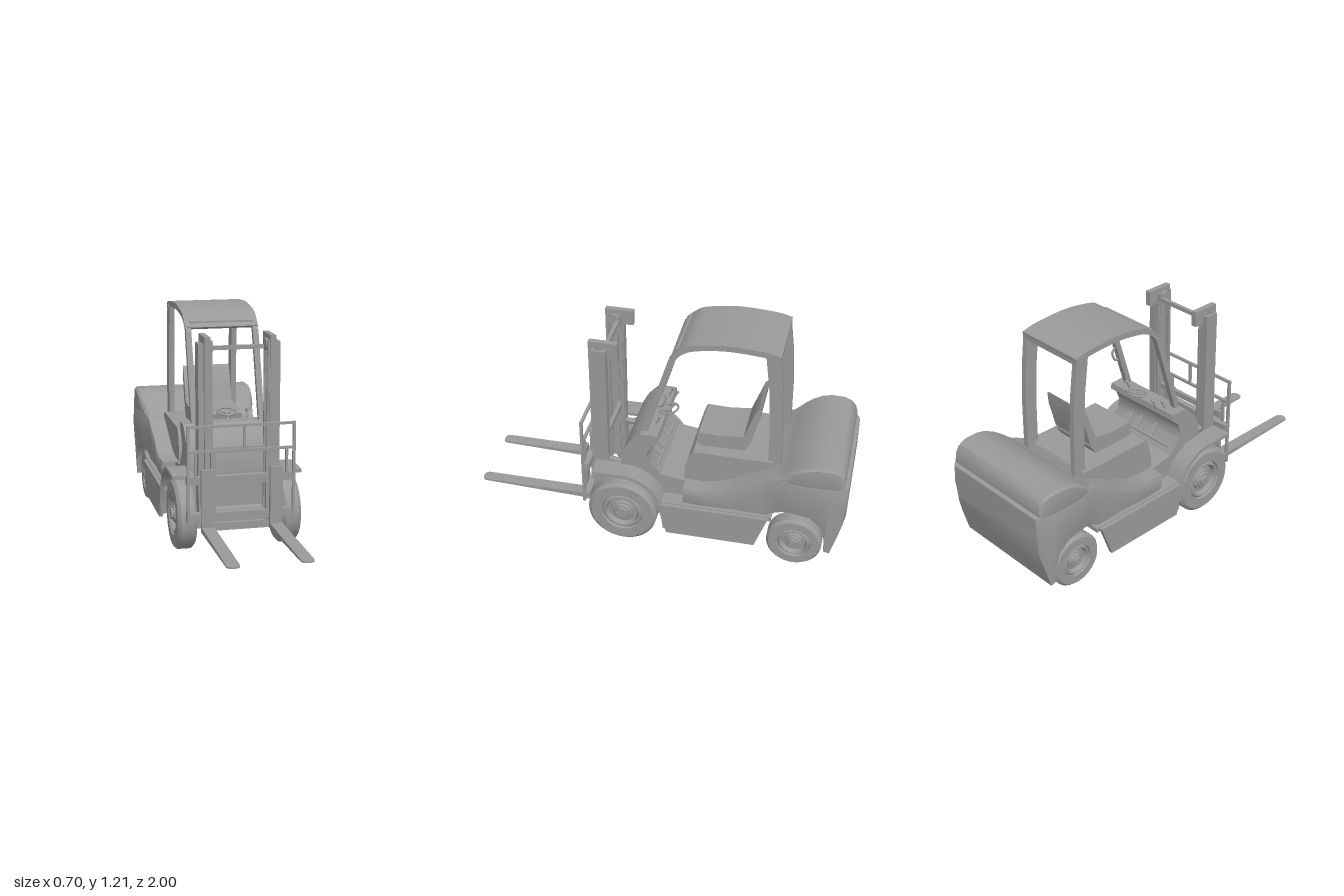
import * as THREE from 'three';
import { toCreasedNormals } from 'three/addons/utils/BufferGeometryUtils.js';

const MAT = new THREE.MeshStandardMaterial({ color: 0x999999, side: THREE.DoubleSide });

export function createModel() {
  const root = new THREE.Group();
  const add = (name, geo, parent = root) => {
    const m = new THREE.Mesh(geo, MAT);
    m.name = name;
    parent.add(m);
    return m;
  };
  const group = (name, x, y, z) => {
    const g = new THREE.Group();
    g.name = name;
    g.position.set(x, y, z);
    root.add(g);
    return g;
  };
  // Box given by its min and max along each axis
  const box = (name, x0, x1, y0, y1, z0, z1, parent) => add(name,
    new THREE.BoxGeometry(x1 - x0, y1 - y0, z1 - z0)
      .translate((x0 + x1) / 2, (y0 + y1) / 2, (z0 + z1) / 2), parent);
  // Side profile of [z, y] points, extruded across x
  const side = (name, pts, x0, x1, parent) => {
    const shape = new THREE.Shape(pts.map(p => new THREE.Vector2(...p)));
    const g = new THREE.ExtrudeGeometry(shape, { depth: x1 - x0, bevelEnabled: false });
    g.rotateY(-Math.PI / 2).translate(x1, 0, 0);
    return add(name, toCreasedNormals(g, 0.6), parent);
  };
  // Smooth curve through [z, y] points running front to back, thickened inward
  const strip = (pts, t, n = 16) => {
    const c = new THREE.SplineCurve(pts.map(p => new THREE.Vector2(...p)));
    const outer = [], inner = [];
    for (let i = 0; i <= n; i++) {
      const p = c.getPoint(i / n), d = c.getTangent(i / n);
      outer.push([p.x, p.y]);
      inner.unshift([p.x - d.y * t, p.y + d.x * t]);
    }
    return outer.concat(inner);
  };
  const rod = (name, a, b, r, parent) => {
    const A = new THREE.Vector3(...a), B = new THREE.Vector3(...b);
    return add(name, new THREE.TubeGeometry(new THREE.LineCurve3(A, B), 1, r, 8), parent);
  };
  // Shell through cross-sections: [z, bottom, top, half width], front to back
  const loft = (name, bottomTaper, topTaper, stations) => {
    const pos = [], idx = [];
    for (const [z, b, t, w] of stations) {
      const mid = Math.max(b + 0.01, Math.min(0.43, t - 0.03));
      const half = [[w * bottomTaper, b], [w, mid], [w * 0.98, t - 0.012], [w * topTaper, t]];
      const ring = half.concat(half.map(([x, y]) => [-x, y]).reverse());
      for (const [x, y] of ring) pos.push(x, y, z);
    }
    const last = (stations.length - 1) * 8;
    for (let k = 0; k < last; k += 8) for (let j = 0; j < 8; j++) {
      const a = k + j, b = k + (j + 1) % 8;
      idx.push(a, a + 8, b, b, a + 8, b + 8);
    }
    for (let j = 1; j < 7; j++) idx.push(0, j, j + 1, last, last + j + 1, last + j);
    const g = new THREE.BufferGeometry();
    g.setAttribute('position', new THREE.Float32BufferAttribute(pos, 3));
    g.setIndex(idx);
    return add(name, toCreasedNormals(g, 0.6));
  };

  // Rear body with wheel arches, and the engine hood on top
  loft('counterweightBody', 0.95, 0.972, [
    [-0.15, 0.27, 0.375, 0.31], [-0.25, 0.27, 0.375, 0.315], [-0.33, 0.27, 0.39, 0.315],
    [-0.42, 0.27, 0.43, 0.31], [-0.52, 0.27, 0.48, 0.315], [-0.58, 0.27, 0.51, 0.315],
    [-0.62, 0.3, 0.53, 0.32], [-0.68, 0.33, 0.535, 0.335], [-0.75, 0.335, 0.54, 0.347],
    [-0.82, 0.325, 0.54, 0.352], [-0.88, 0.27, 0.54, 0.352], [-0.9, 0.2, 0.54, 0.351],
    [-0.905, 0.115, 0.54, 0.35], [-0.935, 0.105, 0.54, 0.348], [-0.97, 0.23, 0.54, 0.343],
    [-0.99, 0.31, 0.538, 0.335], [-1, 0.36, 0.53, 0.322]]);
  loft('engineHood', 0.99, 0.945, [
    [-0.59, 0.49, 0.515, 0.31], [-0.64, 0.52, 0.54, 0.315], [-0.67, 0.53, 0.562, 0.322],
    [-0.7, 0.53, 0.587, 0.332], [-0.74, 0.535, 0.613, 0.343], [-0.79, 0.535, 0.637, 0.348],
    [-0.84, 0.535, 0.648, 0.349], [-0.91, 0.535, 0.647, 0.347], [-0.95, 0.535, 0.632, 0.341],
    [-0.972, 0.535, 0.607, 0.335], [-0.982, 0.535, 0.575, 0.328]]);

  // Chassis, floor and cowl
  box('frontChassis', -0.2, 0.2, 0.1, 0.43, 0.0, 0.19);
  box('underFloor', -0.32, 0.32, 0.255, 0.28, -0.62, -0.02);
  side('footwellFloor', [[0.1, 0.41], [-0.02, 0.395], [-0.16, 0.375], [-0.16, 0.27], [0.1, 0.27]], -0.235, 0.235);
  box('steeringAxle', -0.22, 0.24, 0.12, 0.175, -0.775, -0.72);
  box('axleMount', -0.08, 0.08, 0.16, 0.35, -0.8, -0.69);
  box('transmission', -0.08, 0.08, 0.2, 0.27, -0.4, -0.02);
  side('cowl', [[0.2, 0.4], [0.197, 0.46], [0.185, 0.52], [0.155, 0.575], [0.115, 0.62], [0.09, 0.64],
    [0, 0.637], [-0.005, 0.605], [0.035, 0.57], [0.055, 0.52], [0.045, 0.47], [0.0, 0.42], [-0.02, 0.39]],
  -0.235, 0.235);

  // Overhead guard
  const guard = group('overheadGuard', 0.006, 0, 0);
  for (const s of [-1, 1]) {
    const span = (a, b) => s > 0 ? [a, b] : [-b, -a];
    // Skirt and front fender
    side('sideSkirt', [[-0.02, 0.275], [-0.07, 0.095], [-0.54, 0.095], [-0.605, 0.275]], ...span(0.32, 0.34));
    side('frontFender', strip([[0.33, 0.43], [0.2, 0.432], [0.1, 0.42], [0.01, 0.36],
      [-0.045, 0.26], [-0.07, 0.12]], 0.018, 24), ...span(0.225, 0.337));
    side('fenderPanel', [[0.1, 0.41], [0.19, 0.425], [0.19, 0.3], [-0.03, 0.27], [0.01, 0.35]], ...span(0.195, 0.23));
    // Posts and rails under the roof panel
    side('frontPost', strip([[0.095, 0.62], [0.055, 0.75], [0.01, 0.9], [-0.053, 1.1]], 0.03, 8),
      ...span(0.166, 0.196), guard);
    side('roofRail', strip([[-0.053, 1.098], [-0.095, 1.148], [-0.17, 1.186], [-0.34, 1.209], [-0.53, 1.199],
      [-0.608, 1.181]], 0.028, 20), ...span(0.166, 0.194), guard);
    side('rearPost', [[-0.535, 1.18], [-0.605, 1.18], [-0.627, 1.0], [-0.639, 0.8], [-0.642, 0.5],
      [-0.575, 0.5], [-0.572, 0.75], [-0.56, 0.98]], ...span(0.166, 0.196), guard);
  }
  side('roofPanel', strip([[-0.065, 1.12], [-0.11, 1.16], [-0.17, 1.19], [-0.34, 1.213], [-0.53, 1.203],
    [-0.61, 1.185]], 0.014, 24), -0.197, 0.197, guard);
  box('roofFrontBar', -0.17, 0.17, 1.125, 1.148, -0.115, -0.085, guard);
  box('roofRearBar', -0.197, 0.197, 1.15, 1.187, -0.608, -0.57, guard);
  add('grabHandle', new THREE.TubeGeometry(new THREE.CatmullRomCurve3([[0.02, 0.8], [-0.015, 0.805],
    [-0.035, 0.86], [-0.005, 0.885]].map(([z, y]) => new THREE.Vector3(0.18, y, z))), 14, 0.006, 6), guard);

  // Seat
  side('seatBase', [[-0.14, 0.37], [-0.143, 0.45], [-0.165, 0.53], [-0.185, 0.555], [-0.6, 0.555],
    [-0.62, 0.52], [-0.62, 0.37]], -0.215, 0.215);
  side('seatCushion', [[-0.2, 0.555], [-0.19, 0.62], [-0.2, 0.635], [-0.32, 0.63], [-0.46, 0.645],
    [-0.47, 0.6], [-0.44, 0.555]], -0.12, 0.145);
  side('seatBack', [[-0.43, 0.63], [-0.455, 0.7], [-0.5, 0.82], [-0.52, 0.835], [-0.515, 0.77],
    [-0.475, 0.62]], -0.12, 0.145);

  // Controls
  const steering = group('steeringWheel', 0.02, 0.672, -0.015);
  steering.rotation.x = 0.2;
  add('steeringRim', new THREE.TorusGeometry(0.05, 0.006, 8, 32).rotateX(Math.PI / 2), steering);
  for (let i = 0; i < 3; i++) {
    const a = i * Math.PI * 2 / 3 + Math.PI / 2;
    rod('spoke', [0, -0.01, 0], [0.05 * Math.cos(a), 0, 0.05 * Math.sin(a)], 0.005, steering);
  }
  add('steeringHub', new THREE.CylinderGeometry(0.014, 0.014, 0.015, 12).translate(0, -0.008, 0), steering);
  rod('steeringColumn', [0.02, 0.665, -0.015], [0.02, 0.62, 0.03], 0.012);
  for (const [x, z] of [[-0.15, 0], [-0.115, -0.03], [0.125, 0.01]]) {
    rod('controlLever', [x, 0.62, z + 0.03], [x, 0.685, z], 0.005);
    add('leverKnob', new THREE.SphereGeometry(0.01, 10, 8).translate(x, 0.687, z));
  }
  for (const x of [-0.06, 0.05, 0.12]) {
    rod('pedalArm', [x, 0.5, 0.06], [x, 0.46, 0.015], 0.006);
    side('pedalPad', [[0.035, 0.485], [0.0, 0.445], [0.007, 0.44], [0.042, 0.48]], x - 0.02, x + 0.02);
  }

  // Wheels: one turned profile of [radius, offset], scaled per axle
  const profile = [[0, -0.04], [0.1, -0.04], [0.105, -0.05], [0.168, -0.05], [0.185, -0.034],
    [0.185, 0.034], [0.168, 0.05], [0.112, 0.05], [0.107, 0.038], [0.098, 0.046], [0.09, 0.046],
    [0.08, 0.02], [0.06, 0.022], [0.056, 0.034], [0.045, 0.036], [0.04, 0.045], [0.03, 0.045], [0.028, 0.058],
    [0, 0.058]].map(p => new THREE.Vector2(...p));
  const wheelGeo = toCreasedNormals(new THREE.LatheGeometry(profile, 40), 0.5);
  for (const [name, z, r] of [['frontWheel', 0.172, 0.185], ['rearWheel', -0.747, 0.145]]) {
    for (const s of [-1, 1]) {
      const w = add(name, wheelGeo);
      w.position.set(0.012 + s * 0.274, r, z);
      w.rotation.z = -s * Math.PI / 2;
      w.scale.set(r / 0.185, 1, r / 0.185);
    }
    rod(name + 'Axle', [-0.25, r, z], [0.27, r, z], 0.035);
  }

  // Mast: C-channel rails with a pulley bracket on top
  const mast = group('mast', 0.005, 0, 0);
  const channel = (name, s, xIn, xOut, y0, y1, z0, z1) => {
    const t = 0.014;
    const pts = [[xIn, z0], [xOut, z0], [xOut, z1], [xIn, z1], [xIn, z1 - t], [xOut - t, z1 - t],
      [xOut - t, z0 + t], [xIn, z0 + t]].map(([x, z]) => new THREE.Vector2(s * x, -z));
    const g = new THREE.ExtrudeGeometry(new THREE.Shape(pts), { depth: y1 - y0, bevelEnabled: false });
    add(name, g.rotateX(-Math.PI / 2).translate(0, y0, 0), mast);
  };
  for (const s of [-1, 1]) {
    const span = (a, b) => s > 0 ? [a, b] : [-b, -a];
    channel('outerRail', s, 0.165, 0.21, 0.18, 1.1, 0.27, 0.345);
    channel('innerRail', s, 0.14, 0.178, 0.18, 1.11, 0.28, 0.36);
    box('topBracket', ...span(0.152, 0.182), 1.095, 1.135, 0.215, 0.365, mast);
    box('bracketDrop', ...span(0.152, 0.182), 1.053, 1.1, 0.215, 0.272, mast);
    box('railFace', ...span(0.152, 0.182), 0.18, 1.1, 0.345, 0.365, mast);
    const pulley = add('chainPulley', new THREE.CylinderGeometry(0.03, 0.03, 0.016, 20), mast);
    pulley.rotation.z = Math.PI / 2;
    pulley.position.set(s * 0.143, 1.083, 0.32);
    rod('liftCylinder', [s * 0.155, 0.18, 0.286], [s * 0.155, 1.06, 0.286], 0.014, mast);
    rod('tiltCylinder', [s * 0.18, 0.4, 0.1], [s * 0.18, 0.42, 0.29], 0.016, mast);

    // Forks: upright shank and rounded, tapering blade
    box('forkShank', ...span(0.145, 0.21), 0.15, 0.475, 0.395, 0.418, mast);
    const tip = new THREE.Shape();
    tip.moveTo(-0.0325, 0.4).lineTo(0.0325, 0.4).lineTo(0.0325, 0.975);
    tip.quadraticCurveTo(0.03, 1, 0, 1).quadraticCurveTo(-0.03, 1, -0.0325, 0.975);
    const blade = new THREE.ExtrudeGeometry(tip, { depth: 0.028, bevelEnabled: false, curveSegments: 6 });
    blade.rotateX(Math.PI / 2);
    const p = blade.attributes.position;
    for (let i = 0; i < p.count; i++) {
      if (p.getY(i) < -0.01) p.setY(i, -0.028 + 0.02 * (p.getZ(i) - 0.4) / 0.6);
    }
    blade.computeVertexNormals();
    add('forkBlade', blade.translate(s * 0.1775, 0.177, 0), mast);

    // Load backrest uprights
    box('backrestPost', ...span(0.266, 0.28), 0.185, 0.7, 0.385, 0.4, mast);
    box('carriagePlate', ...span(0.13, 0.155), 0.2, 0.56, 0.366, 0.385, mast);
  }
  for (const [y0, y1] of [[1.06, 1.08], [0.53, 0.56], [0.12, 0.16]])
    box('mastCrossbar', -0.17, 0.17, y0, y1, 0.285, 0.305, mast);
  for (const [y0, y1] of [[0.395, 0.435], [0.203, 0.245]])
    box('carriageBar', -0.28, 0.28, y0, y1, 0.36, 0.395, mast);
  for (const y of [0.687, 0.56]) box('backrestRail', -0.28, 0.28, y, y + 0.012, 0.385, 0.4, mast);
  for (const [x, y0, y1] of [[-0.235, 0.42, 0.565], [0.015, 0.56, 0.69], [0.235, 0.42, 0.565]])
    box('backrestBar', x - 0.006, x + 0.006, y0, y1, 0.385, 0.4, mast);
  return root;
}
